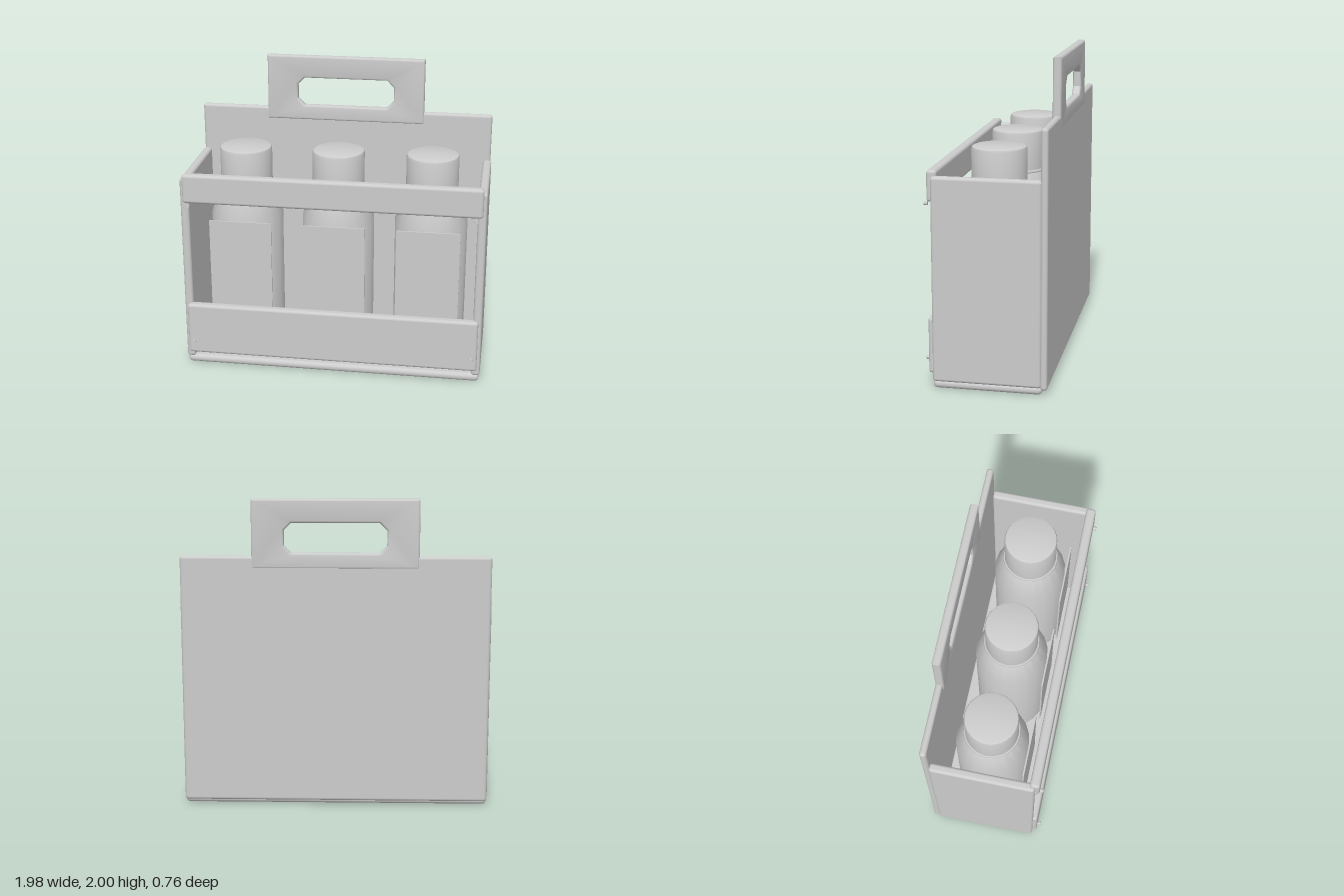
import * as THREE from 'three';
import { RoundedBoxGeometry } from 'three/addons/geometries/RoundedBoxGeometry.js';
import { toCreasedNormals } from 'three/addons/utils/BufferGeometryUtils.js';

const grey = new THREE.MeshStandardMaterial({ color: 0xcccccc });
grey.name = 'plain grey';

function add(parent, name, geometry, x = 0, y = 0, z = 0) {
  const mesh = new THREE.Mesh(geometry, grey);
  mesh.name = name;
  mesh.position.set(x, y, z);
  parent.add(mesh);
  return mesh;
}

// Rounded board given by its extents along each axis
function board(parent, name, [x0, x1], [y0, y1], [z0, z1], radius) {
  const geometry = new RoundedBoxGeometry(x1 - x0, y1 - y0, z1 - z0, 3, radius);
  return add(parent, name, geometry, (x0 + x1) / 2, (y0 + y1) / 2, (z0 + z1) / 2);
}

function lathe(points, segments) {
  const profile = points.map(([r, y]) => new THREE.Vector2(r, y));
  return toCreasedNormals(new THREE.LatheGeometry(profile, segments), 0.5);
}

// Handle plate with a chamfered grip opening
function handleGeometry() {
  const b = 0.015, w = 0.53 - b, y0 = 1.56 + b, y1 = 2 - b;
  const shape = new THREE.Shape();
  shape.moveTo(-w, y0);
  shape.lineTo(w, y0);
  shape.lineTo(w, y1);
  shape.lineTo(-w, y1);
  shape.closePath();

  const hx = 0.325 + b, h0 = 1.66 - b, h1 = 1.85 + b, c = 0.055;
  const grip = new THREE.Path();
  grip.moveTo(-hx + c, h0);
  grip.lineTo(-hx, h0 + c);
  grip.lineTo(-hx, h1 - c);
  grip.lineTo(-hx + c, h1);
  grip.lineTo(hx - c, h1);
  grip.lineTo(hx, h1 - c);
  grip.lineTo(hx, h0 + c);
  grip.lineTo(hx - c, h0);
  grip.closePath();
  shape.holes.push(grip);

  const geometry = new THREE.ExtrudeGeometry(shape, {
    depth: 0.055 - 2 * b, bevelEnabled: true, bevelSize: b, bevelThickness: b, bevelSegments: 3,
  });
  geometry.translate(0, 0, -0.38 + b);
  return toCreasedNormals(geometry, 0.6);
}

// Bottle with shoulder, neck ring, cap and a flat front label
function createBottle() {
  const bottle = new THREE.Group();
  bottle.name = 'bottle';
  add(bottle, 'bottleBody', lathe([
    [0, 0.055], [0.24, 0.055], [0.24, 1.01], [0.18, 1.2], [0.16, 1.22], [0, 1.22],
  ], 20));
  const ring = add(bottle, 'neckRing', new THREE.TorusGeometry(0.175, 0.011, 6, 20), 0, 1.2, 0);
  ring.rotation.x = Math.PI / 2;
  add(bottle, 'cap', lathe([
    [0, 1.21], [0.172, 1.21], [0.172, 1.445], [0.167, 1.459], [0.153, 1.465], [0, 1.465],
  ], 32));
  add(bottle, 'label', new THREE.BoxGeometry(0.415, 0.71, 0.01), 0, 0.655, 0.245);
  return bottle;
}

export function createModel() {
  const model = new THREE.Group();
  model.name = 'bottleCarrier';

  // Crate
  board(model, 'base', [-0.985, 0.985], [0, 0.055], [-0.345, 0.332], 0.026);
  board(model, 'backPanel', [-0.985, 0.985], [0.03, 1.64], [-0.377, -0.333], 0.02);
  for (const side of [-1, 1]) {
    const x = side > 0 ? [0.935, 0.992] : [-0.992, -0.935];
    board(model, side > 0 ? 'leftPanel' : 'rightPanel', x, [0.045, 1.33], [-0.34, 0.333], 0.02);
  }
  add(model, 'handle', handleGeometry());

  // Front rails
  board(model, 'upperRail', [-0.97, 0.97], [1.17, 1.365], [0.298, 0.362], 0.02);
  board(model, 'lowerRail', [-0.97, 0.97], [0.09, 0.447], [0.298, 0.362], 0.02);

  // Small round pins at the corners of the front
  for (const x of [-0.93, 0.93]) {
    for (const y of [0.18, 1.155]) {
      const pin = add(model, 'pin', new THREE.CylinderGeometry(0.012, 0.012, 0.022, 12), x, y, 0.373);
      pin.rotation.x = Math.PI / 2;
    }
  }

  // Row of bottles
  for (const x of [-0.62, 0, 0.62]) {
    const bottle = createBottle();
    bottle.position.set(x, 0, -0.013);
    model.add(bottle);
  }
  return model;
}
